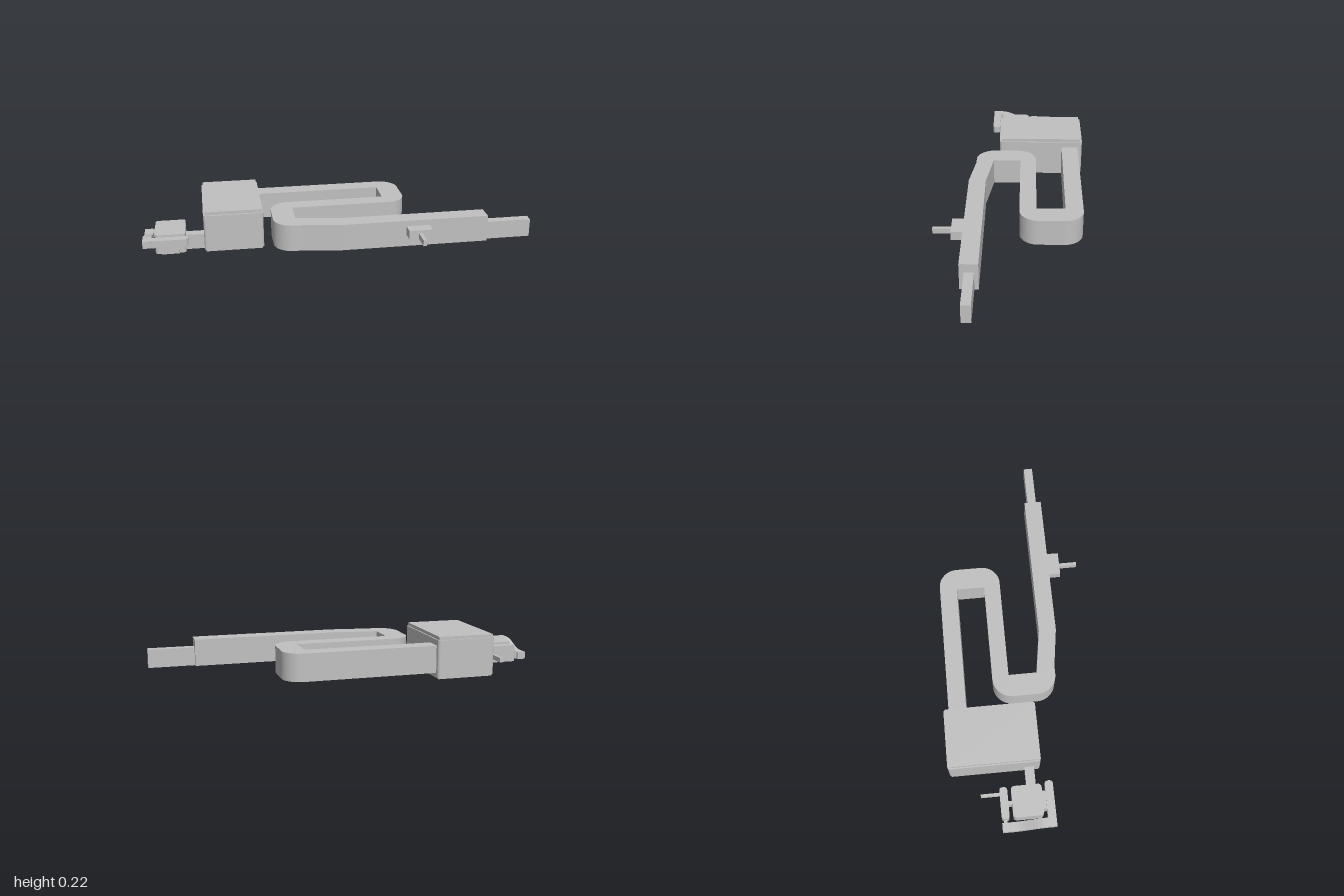
import * as THREE from 'three';

const steel = new THREE.MeshStandardMaterial({ color: 0xc0c0c0 });
steel.name = 'light grey';

// Extrudes a plan outline (x, z) between heights y0 and y1
function plan(name, shape, y0, y1) {
  const g = new THREE.ExtrudeGeometry(shape, { depth: y1 - y0, bevelEnabled: false, curveSegments: 8 });
  g.rotateX(Math.PI / 2).translate(0, y1, 0);
  const m = new THREE.Mesh(g, steel);
  m.name = name;
  return m;
}

// Block with rounded upright edges
function block(name, x0, x1, y0, y1, z0, z1, r = 0) {
  const s = new THREE.Shape();
  if (r === 0) {
    s.moveTo(x0, z0).lineTo(x1, z0).lineTo(x1, z1).lineTo(x0, z1);
  } else {
    s.absarc(x1 - r, z1 - r, r, 0, Math.PI / 2);
    s.absarc(x0 + r, z1 - r, r, Math.PI / 2, Math.PI);
    s.absarc(x0 + r, z0 + r, r, Math.PI, Math.PI * 1.5);
    s.absarc(x1 - r, z0 + r, r, Math.PI * 1.5, Math.PI * 2);
  }
  s.closePath();
  return plan(name, s, y0, y1);
}

// Folded S-shaped bar with round outer and square inner corners
function foldedBar() {
  const s = new THREE.Shape();
  s.moveTo(-0.39, -0.36);
  s.lineTo(0.295, -0.36);
  s.absarc(0.295, -0.265, 0.095, -Math.PI / 2, 0);
  s.lineTo(0.39, -0.135);
  s.absarc(0.295, -0.135, 0.095, 0, Math.PI / 2);
  s.lineTo(-0.225, -0.04);
  s.lineTo(-0.225, 0.105);
  s.lineTo(0, 0.14);
  s.lineTo(0.76, 0.14);
  s.lineTo(0.76, 0.23);
  s.lineTo(0, 0.23);
  s.lineTo(-0.2, 0.2);
  s.lineTo(-0.24, 0.2);
  s.absarc(-0.24, 0.1, 0.1, Math.PI / 2, Math.PI);
  s.lineTo(-0.34, -0.025);
  s.absarc(-0.24, -0.025, 0.1, Math.PI, Math.PI * 1.5);
  s.lineTo(0.275, -0.125);
  s.lineTo(0.275, -0.27);
  s.lineTo(-0.39, -0.27);
  return plan('foldedBar', s, 0.03, 0.17);
}

// Clamp spine: side profile that sweeps down towards the back
function clampSpine() {
  const s = new THREE.Shape();
  s.moveTo(-0.13, 0.065);
  s.lineTo(-0.08, 0.065);
  s.bezierCurveTo(-0.02, 0.065, 0.02, 0.02, 0.08, 0.02);
  s.lineTo(0.14, 0.02);
  s.lineTo(0.14, 0.058);
  s.lineTo(0.08, 0.058);
  s.bezierCurveTo(0.02, 0.058, -0.02, 0.103, -0.08, 0.103);
  s.lineTo(-0.13, 0.103);
  s.closePath();
  const g = new THREE.ExtrudeGeometry(s, { depth: 0.045, bevelEnabled: false, curveSegments: 8 });
  g.rotateY(Math.PI / 2).translate(-1, 0, 0);
  const m = new THREE.Mesh(g, steel);
  m.name = 'clampSpine';
  return m;
}

export function createModel() {
  const model = new THREE.Group();
  model.name = 'foldedBarAssembly';
  model.add(
    foldedBar(),
    block('barTongue', 0.76, 1, 0.03, 0.125, 0.16, 0.207),
    // Side stud
    block('studBase', 0.33, 0.452, 0.095, 0.14, 0.23, 0.292),
    block('studPin', 0.38, 0.397, 0.095, 0.125, 0.292, 0.386),
    // Housing with raised lid and base
    block('housing', -0.692, -0.386, 0.01, 0.2, -0.385, 0.078, 0.015),
    block('housingLid', -0.685, -0.393, 0.2, 0.217, -0.376, 0.069),
    block('housingBase', -0.685, -0.393, 0, 0.01, -0.376, 0.069),
    // Clamp end
    block('clampNeck', -0.79, -0.69, 0.01, 0.09, -0.003, 0.045),
    block('clampBlock', -0.942, -0.785, 0.005, 0.108, -0.082, 0.072, 0.018),
    block('frontWeb', -0.91, -0.82, 0.01, 0.095, 0.07, 0.092),
    block('backWeb', -0.873, -0.855, 0.02, 0.09, -0.102, -0.08),
    clampSpine(),
    block('frontArm', -0.965, -0.772, 0.065, 0.103, 0.088, 0.13, 0.018),
    block('backArm', -0.942, -0.785, 0.01, 0.1, -0.14, -0.1, 0.015),
    block('armLink', -0.958, -0.938, 0.022, 0.056, -0.13, -0.112),
    block('clampPin', -0.818, -0.803, 0.03, 0.055, -0.235, -0.138)
  );
  return model;
}
